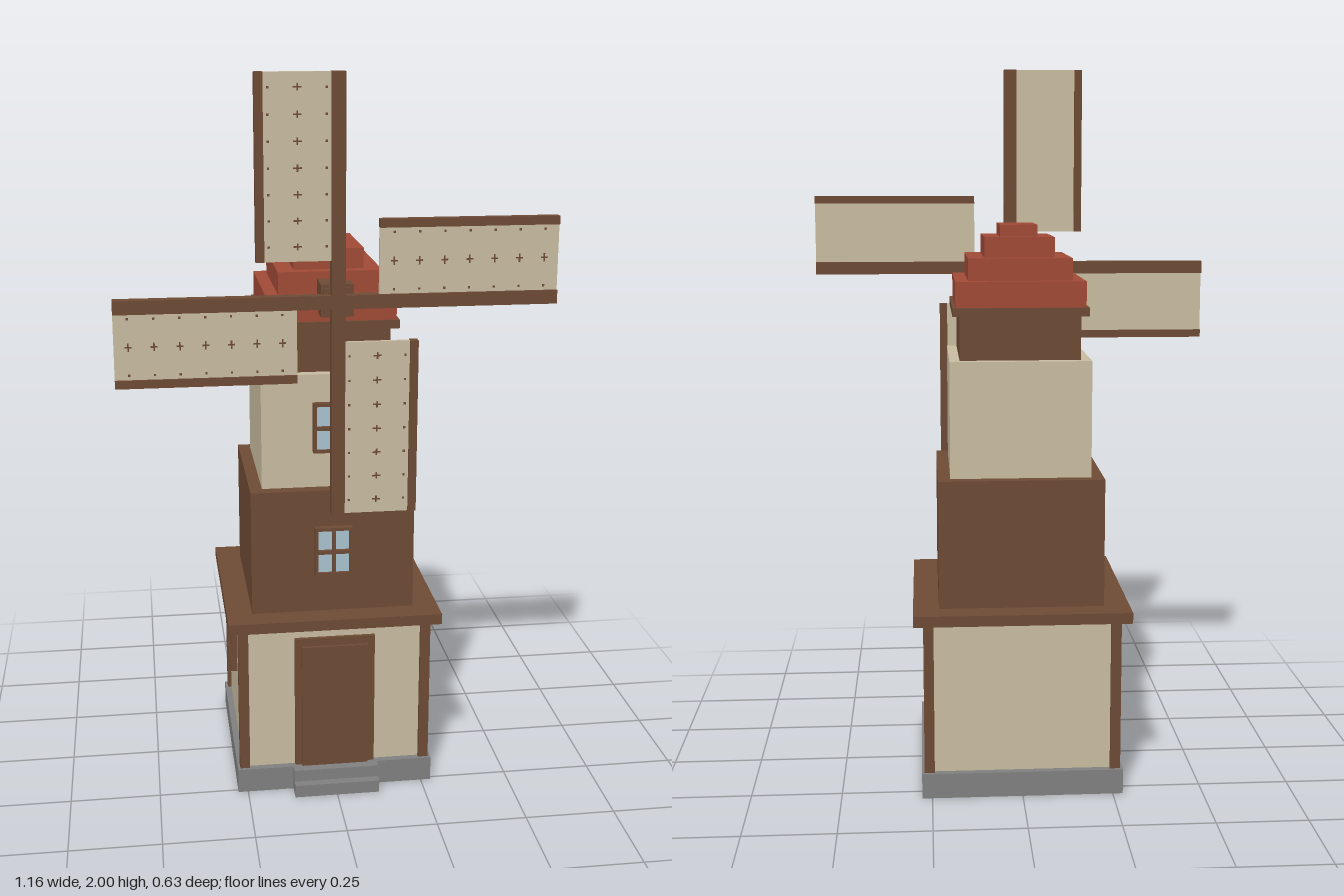
import * as THREE from 'three';

const material = (name, color) => {
  const m = new THREE.MeshStandardMaterial({ color });
  m.name = name;
  return m;
};

export function createModel() {
  const wood = material('brown wood', 0x6e4a35);
  const plaster = material('cream plaster', 0xc9bda1);
  const tile = material('red tile', 0xa04a36);
  const stone = material('grey stone', 0x808080);
  const glass = material('pale blue glass', 0xa9c3cf);

  const model = new THREE.Group();
  model.name = 'windmill';
  const CZ = -0.018; // centre of the tower in z

  // Box given by its lower and upper limits on each axis
  function box(parent, name, mat, x0, x1, y0, y1, z0, z1) {
    const mesh = new THREE.Mesh(new THREE.BoxGeometry(x1 - x0, y1 - y0, z1 - z0), mat);
    mesh.position.set((x0 + x1) / 2, (y0 + y1) / 2, (z0 + z1) / 2);
    mesh.name = name;
    parent.add(mesh);
    return mesh;
  }

  // Stacked tower and stepped roof: name, material, half width, half depth, bottom, top
  const tiers = [
    ['foundation', stone, 0.278, 0.28, 0, 0.07],
    ['groundFloorWalls', plaster, 0.26, 0.26, 0.07, 0.495],
    ['ledge', wood, 0.298, 0.298, 0.495, 0.525],
    ['secondFloor', wood, 0.227, 0.227, 0.525, 0.88],
    ['thirdFloor', plaster, 0.193, 0.193, 0.88, 1.2],
    ['capWall', wood, 0.165, 0.165, 1.2, 1.322],
    ['eaves', wood, 0.184, 0.2, 1.322, 1.345],
    ['roofStep1', tile, 0.176, 0.193, 1.345, 1.415],
    ['roofStep2', tile, 0.141, 0.165, 1.415, 1.475],
    ['roofStep3', tile, 0.095, 0.131, 1.475, 1.53],
    ['roofStep4', tile, 0.051, 0.096, 1.53, 1.562],
  ];
  for (const [name, mat, hx, hz, y0, y1] of tiers) {
    box(model, name, mat, -hx, hx, y0, y1, CZ - hz, CZ + hz);
  }

  // Corner posts of the ground floor
  for (const sx of [-1, 1]) {
    for (const sz of [-1, 1]) {
      const x = sx * 0.257, z = CZ + sz * 0.257;
      box(model, 'cornerPost', wood, x - 0.014, x + 0.014, 0.07, 0.495, z - 0.014, z + 0.014);
    }
  }

  // Door and steps
  box(model, 'doorFrame', wood, -0.113, 0.113, 0.07, 0.46, 0.2, 0.253);
  box(model, 'door', wood, -0.094, 0.094, 0.07, 0.437, 0.2, 0.262);
  box(model, 'lowerStep', stone, -0.12, 0.12, 0, 0.036, 0.24, 0.312);
  box(model, 'upperStep', stone, -0.12, 0.12, 0.036, 0.07, 0.24, 0.288);

  // Window facing local +z, with its back on the wall at z = 0
  function makeWindow(name) {
    const w = new THREE.Group();
    w.name = name;
    const hw = 0.052, hh = 0.07, t = 0.009;
    for (const s of [-1, 1]) {
      const x = s * (hw - t / 2), y = s * (hh - t / 2);
      box(w, 'frameSide', wood, x - t / 2, x + t / 2, -hh, hh, -0.01, 0.019);
      box(w, 'frameRail', wood, -hw + t, hw - t, y - t / 2, y + t / 2, -0.01, 0.019);
    }
    box(w, 'pane', glass, -hw + t, hw - t, -hh + t, hh - t, 0.006, 0.012);
    box(w, 'mullion', wood, -0.005, 0.005, -hh + t, hh - t, 0, 0.025);
    box(w, 'transom', wood, -hw + t, hw - t, -0.005, 0.005, 0, 0.024);
    model.add(w);
    return w;
  }
  makeWindow('secondFloorWindow').position.set(0, 0.706, 0.209);
  makeWindow('thirdFloorWindow').position.set(0, 1.052, 0.175);
  const side = makeWindow('sideWindow');
  side.position.set(-0.26, 0.338, CZ);
  side.rotation.y = -Math.PI / 2;

  // Axle and hub
  const HY = 1.422;
  box(model, 'axle', wood, -0.036, 0.036, HY - 0.034, HY + 0.034, 0.1, 0.285);
  box(model, 'hub', wood, -0.043, 0.043, HY - 0.043, HY + 0.043, 0.235, 0.281);

  // Four sails turned about the hub
  const rotor = new THREE.Group();
  rotor.name = 'rotor';
  rotor.position.set(0, HY, 0.29);
  for (let i = 0; i < 4; i++) {
    const sail = new THREE.Group();
    sail.name = 'sail';
    sail.rotation.z = -i * Math.PI / 2;
    box(sail, 'spar', wood, -0.018, 0.018, i % 2 ? 0.018 : 0, 0.578, -0.016, 0.015);
    box(sail, 'edgeBar', wood, -0.212, -0.19, 0.107, 0.578, -0.012, 0.013);
    box(sail, 'cloth', plaster, -0.19, -0.018, 0.107, 0.578, -0.004, 0.007);
    // Small stitches: crosses down the middle, dots along both edges
    for (let k = 0; k < 7; k++) {
      const y = 0.145 + k * 0.066;
      box(sail, 'stitchAcross', wood, -0.115, -0.093, y - 0.002, y + 0.002, 0.006, 0.008);
      box(sail, 'stitchAlong', wood, -0.106, -0.102, y - 0.009, y + 0.009, 0.006, 0.008);
      for (const x of [-0.178, -0.03]) {
        box(sail, 'stitchDot', wood, x - 0.003, x + 0.003, y - 0.003, y + 0.003, 0.006, 0.008);
      }
    }
    rotor.add(sail);
  }
  model.add(rotor);
  return model;
}
